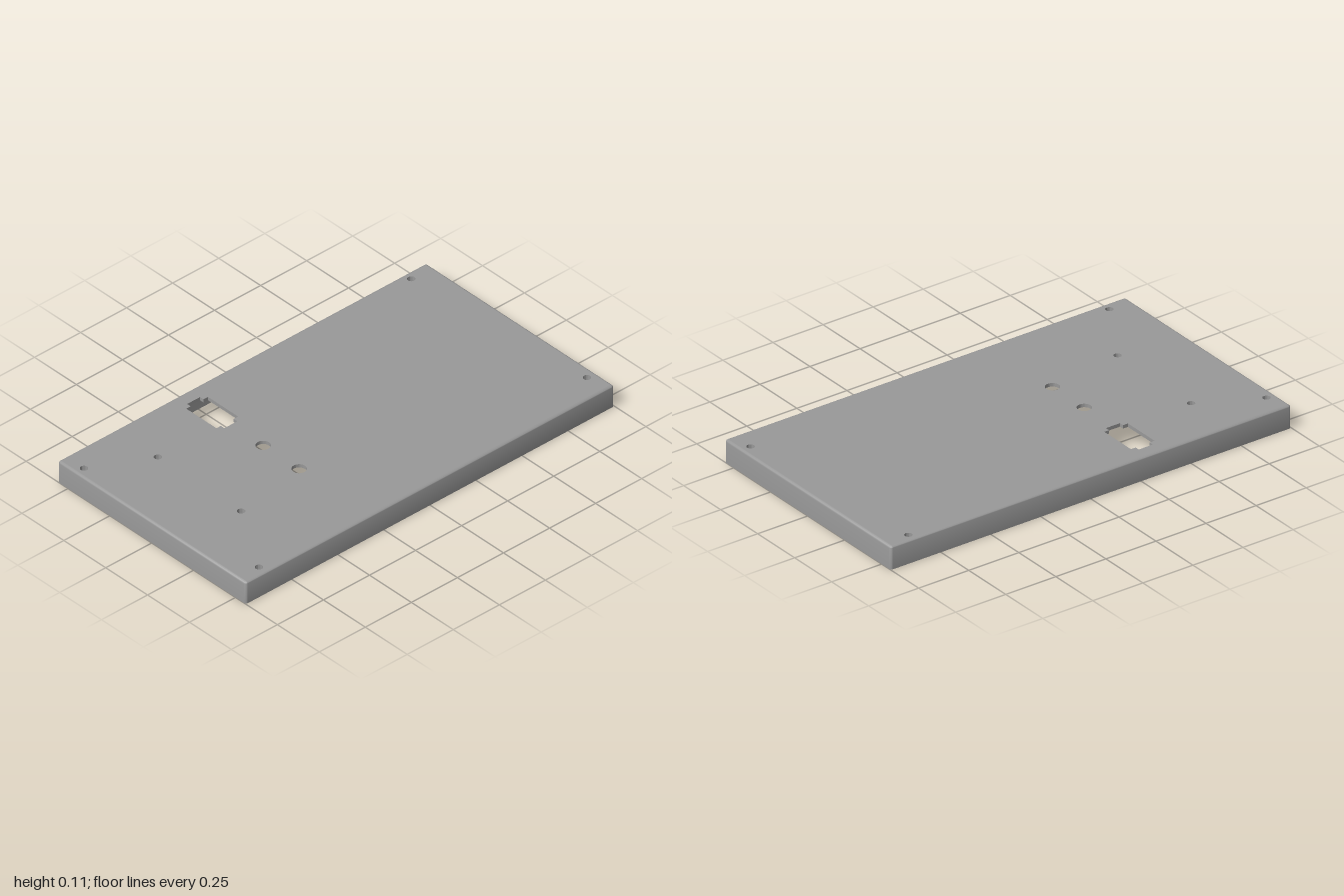
import * as THREE from 'three';
import { toCreasedNormals } from 'three/addons/utils/BufferGeometryUtils.js';

const W = 1, D = 0.562, H = 0.105;   // half width, half depth, height
const T = 0.016, R = 0.012;          // wall thickness, edge rounding

// Corner-rounded rectangle loop, counter-clockwise seen from above (y = -z)
function rectLoop(inset) {
  const r = Math.max(R - inset, 0.0005), n = 5, pts = [];
  const cx = W - inset - r, cy = D - inset - r;
  [[1, 1], [-1, 1], [-1, -1], [1, -1]].forEach(([sx, sy], q) => {
    for (let k = 0; k <= n; k++) {
      const a = (q + k / n) * Math.PI / 2;
      pts.push(new THREE.Vector2(sx * cx + r * Math.cos(a), sy * cy + r * Math.sin(a)));
    }
  });
  return pts;
}

// Skin lofted through [inset, height] rings
function loftWalls(profile) {
  const pos = [], index = [];
  let n = 0;
  for (const [inset, y] of profile) {
    const loop = rectLoop(inset);
    n = loop.length;
    for (const p of loop) pos.push(p.x, y, -p.y);
  }
  for (let i = 0; i < profile.length - 1; i++) {
    for (let j = 0; j < n; j++) {
      const a = i * n + j, b = i * n + (j + 1) % n;
      index.push(a, b, b + n, a, b + n, a + n);
    }
  }
  const g = new THREE.BufferGeometry();
  g.setAttribute('position', new THREE.Float32BufferAttribute(pos, 3));
  g.setIndex(index);
  return toCreasedNormals(g, 0.6);
}

// Upright extrusion of a plan shape from y0 to y1
function extrudeUp(shape, y0, y1) {
  const g = new THREE.ExtrudeGeometry(shape, { depth: y1 - y0, bevelEnabled: false, curveSegments: 16 });
  g.rotateX(-Math.PI / 2).translate(0, y0, 0);
  return toCreasedNormals(g, 0.6);
}

const circle = (x, z, r) => new THREE.Path().absarc(x, -z, r, 0, Math.PI * 2, true);

export function createModel() {
  const group = new THREE.Group();
  const grey = new THREE.MeshStandardMaterial({ color: 0x999999 });
  grey.name = 'grey plastic';
  const add = (name, geometry) => {
    const mesh = new THREE.Mesh(geometry, grey);
    mesh.name = name;
    group.add(mesh);
  };

  const cornerScrews = [[-0.956, -0.453], [0.882, -0.521], [-0.888, 0.517], [0.953, 0.45]];
  const sideScrews = [[-0.685, -0.31], [-0.685, 0.187]];
  const boardPosts = [[0.858, -0.407], [0.858, 0.36], [-0.13, -0.407], [-0.13, 0.36]];

  // Side walls with a rounded upper edge
  const profile = [[T, H - T], [T, 0], [0, 0]];
  for (let k = 0; k <= 5; k++) {
    const a = k / 5 * Math.PI / 2;
    profile.push([R - R * Math.cos(a), H - R + R * Math.sin(a)]);
  }
  add('sideWalls', loftWalls(profile));

  // Top panel with screw holes, two round openings and the stepped socket opening
  const panel = new THREE.Shape(rectLoop(R));
  for (const [x, z] of [...cornerScrews, ...sideScrews]) panel.holes.push(circle(x, z, 0.017));
  for (const z of [-0.084, 0.131]) panel.holes.push(circle(-0.319, z, 0.031));
  const cx = -0.321, cz = -0.386, a = 0.059, b = 0.09, c = 0.035, d = 0.111;
  const quarter = [[a, b], [c, b], [c, d]];
  const outline = [
    ...quarter,
    ...quarter.map(([x, y]) => [-x, y]).reverse(),
    ...quarter.map(([x, y]) => [-x, -y]),
    ...quarter.map(([x, y]) => [x, -y]).reverse(),
  ];
  panel.holes.push(new THREE.Path(outline.map(([x, y]) => new THREE.Vector2(cx + x, -cz + y))));
  add('topPanel', extrudeUp(panel, H - T, H));

  // Hollow posts hanging under the panel
  const addPosts = (name, spots, y0, radius) => {
    for (const [x, z] of spots) {
      const ring = new THREE.Shape().absarc(x, -z, radius, 0, Math.PI * 2, false);
      ring.holes.push(circle(x, z, 0.017));
      add(name, extrudeUp(ring, y0, H - T));
    }
  };
  addPosts('cornerPost', cornerScrews, 0.008, 0.038);
  addPosts('sidePost', sideScrews, 0.03, 0.041);
  addPosts('boardPost', boardPosts, 0.03, 0.041);

  // Small pegs either side of the socket opening
  for (const s of [-1, 1]) {
    const peg = new THREE.CylinderGeometry(0.012, 0.012, 0.02, 16);
    add('socketPeg', peg.translate(cx + s * 0.1, H - T - 0.01, -0.4));
  }
  return group;
}
